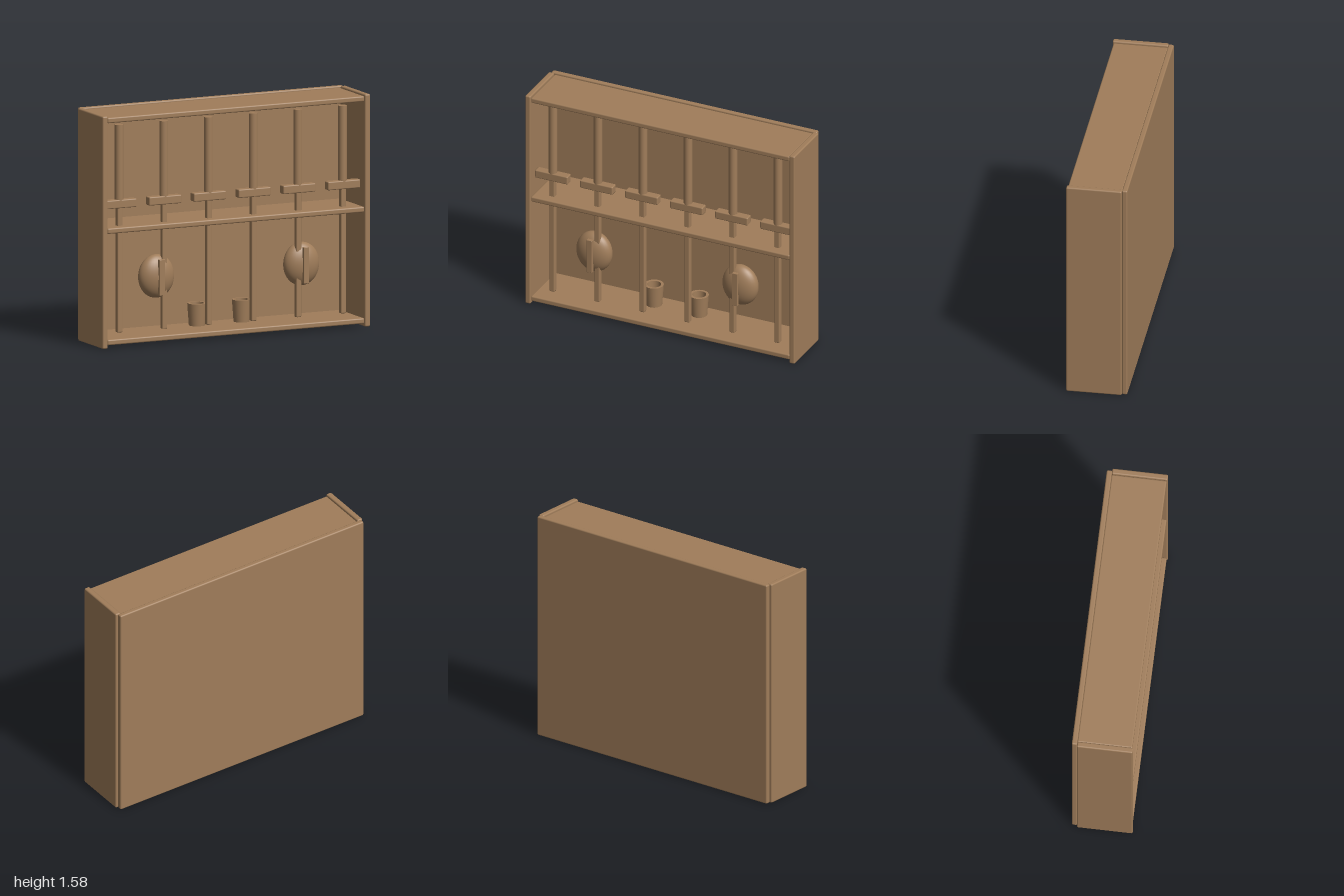
import * as THREE from 'three';
import { RoundedBoxGeometry } from 'three/addons/geometries/RoundedBoxGeometry.js';

export function createModel() {
  const model = new THREE.Group();
  model.name = 'displayRack';
  const wood = new THREE.MeshStandardMaterial({ color: 0xa07d5a });
  wood.name = 'brown wood';

  const add = (parent, name, geometry, x, y, z) => {
    const mesh = new THREE.Mesh(geometry, wood);
    mesh.name = name;
    mesh.position.set(x, y, z);
    parent.add(mesh);
    return mesh;
  };
  const board = (w, h, d, r = 0.01) => new RoundedBoxGeometry(w, h, d, 2, r);

  // Cabinet: back, two sides and three shelves
  add(model, 'backPanel', board(1.97, 1.58, 0.037), 0, 0.79, -0.188);
  for (const s of [-1, 1]) {
    add(model, s > 0 ? 'leftSide' : 'rightSide', board(0.04, 1.58, 0.377), s * 0.98, 0.79, 0.018);
  }
  [['bottomShelf', 0.04], ['middleShelf', 0.797], ['topShelf', 1.549]].forEach(([name, y]) => {
    add(model, name, board(1.92, 0.038, 0.372), 0, y, 0.014);
  });

  // Six hanging swords, blades passing through the middle shelf
  const gripGeo = new THREE.CylinderGeometry(0.029, 0.029, 0.53, 24);
  const guardGeo = board(0.242, 0.058, 0.058, 0.008);
  const bladeGeo = board(0.038, 0.87, 0.038, 0.007);
  for (let i = 0; i < 6; i++) {
    const sword = new THREE.Group();
    sword.name = 'sword';
    sword.position.set((i - 2.5) * 0.334, 0, 0.117);
    add(sword, 'grip', gripGeo, 0, 1.237, 0);
    add(sword, 'guard', guardGeo, 0, 0.965, 0);
    add(sword, 'blade', bladeGeo, 0, 0.525, 0);
    model.add(sword);
  }

  // Two domed shields with a narrow upright bar
  const domeGeo = new THREE.SphereGeometry(1, 32, 20).scale(0.13, 0.148, 0.076);
  const barGeo = board(0.04, 0.245, 0.026, 0.003);
  for (const s of [-1, 1]) {
    const shield = new THREE.Group();
    shield.name = 'shield';
    shield.position.set(s * 0.542, 0.445, 0.085);
    add(shield, 'dome', domeGeo, 0, 0, 0);
    add(shield, 'bar', barGeo, s * -0.003, 0, 0.076);
    model.add(shield);
  }

  // Two hollow tapered cups; repeated points keep the rims sharp
  const profile = [
    [0, 0], [0.054, 0], [0.054, 0], [0.065, 0.152], [0.065, 0.152],
    [0.047, 0.152], [0.047, 0.152], [0.042, 0.02], [0.042, 0.02], [0, 0.02],
  ].map(([r, y]) => new THREE.Vector2(r, y));
  const cupGeo = new THREE.LatheGeometry(profile, 28);
  for (const s of [-1, 1]) add(model, 'cup', cupGeo, s * 0.167, 0.058, -0.057);

  return model;
}
